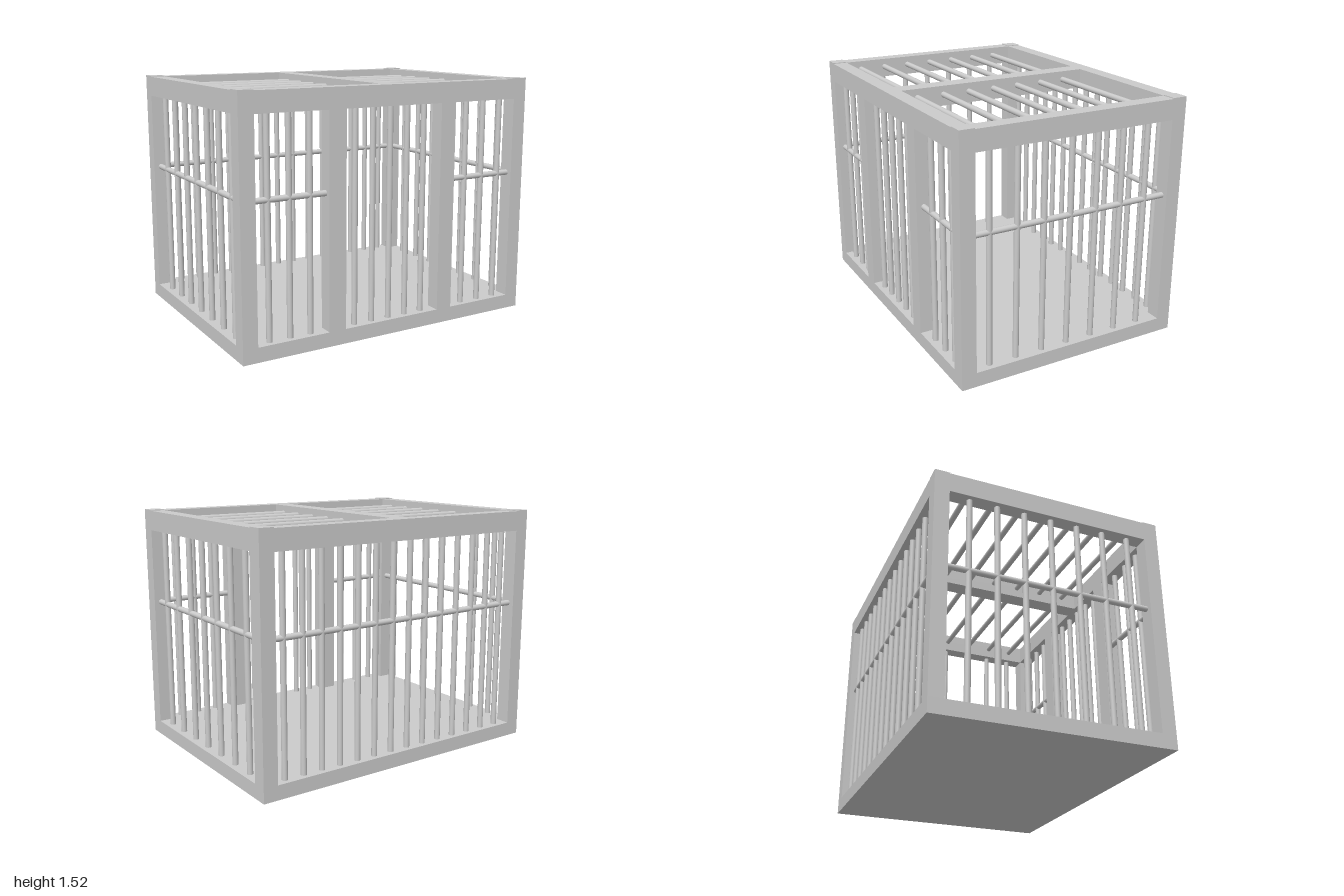
import * as THREE from 'three';

const W = 1, D = 0.74, T = 0.093;        // half width, half depth, frame thickness
const FLOOR = 0.09, RAIL = 1.39, TOP = 1.515, POST_TOP = 1.52;
const R = 0.018, CROSS_Y = 0.912, ROOF_Y = 1.46;
const IX = W - T, IZ = D - T;            // inner edges of the frame
const BX = W - T / 2, BZ = D - T / 2;    // planes of the bars

export function createModel() {
  const cage = new THREE.Group();
  cage.name = 'cage';
  const mat = new THREE.MeshStandardMaterial({ color: 0xcccccc });

  const section = (name) => {
    const g = new THREE.Group();
    g.name = name;
    cage.add(g);
    return g;
  };

  // Box given by its minimum and maximum corners
  const box = (parent, name, x0, x1, y0, y1, z0, z1) => {
    const m = new THREE.Mesh(new THREE.BoxGeometry(x1 - x0, y1 - y0, z1 - z0), mat);
    m.position.set((x0 + x1) / 2, (y0 + y1) / 2, (z0 + z1) / 2);
    m.name = name;
    parent.add(m);
  };

  // Round bar running along one axis from a to b, through the point (x, y, z)
  const bar = (parent, name, axis, a, b, x, y, z) => {
    const m = new THREE.Mesh(new THREE.CylinderGeometry(R, R, b - a, 16), mat);
    m.position.set(x, y, z);
    m.position[axis] = (a + b) / 2;
    if (axis === 'x') m.rotation.z = Math.PI / 2;
    if (axis === 'z') m.rotation.x = Math.PI / 2;
    m.name = name;
    parent.add(m);
  };

  const spread = (n, first, last) =>
    Array.from({ length: n }, (_, i) => first + ((last - first) * i) / (n - 1));
  const upright = (parent, x, z) => bar(parent, 'uprightBar', 'y', FLOOR, RAIL, x, 0, z);

  // Floor, corner posts and top rails
  const frame = section('frame');
  box(frame, 'floor', -W, W, 0, FLOOR, -D, D);
  for (const sx of [-1, 1]) {
    const x0 = sx < 0 ? -W : IX;
    box(frame, 'sideRail', x0, x0 + T, RAIL, TOP, -IZ, IZ);
    for (const sz of [-1, 1]) {
      const z0 = sz < 0 ? -D : IZ;
      box(frame, 'cornerPost', x0, x0 + T, FLOOR, POST_TOP, z0, z0 + T);
    }
  }
  box(frame, 'frontRail', -IX, IX, RAIL, TOP, IZ, D);
  box(frame, 'backRail', -IX, IX, RAIL, TOP, -D, -IZ);
  box(frame, 'roofBeam', -0.055, 0.055, RAIL, TOP, -IZ, IZ);
  box(frame, 'doorPost', -0.447, -0.335, FLOOR, RAIL, IZ, D);
  box(frame, 'doorPost', 0.335, 0.442, FLOOR, RAIL, IZ, D);

  // Front: two barred bays with a cross bar, and the door bars between them
  const front = section('frontBars');
  for (const x of spread(3, -0.815, -0.55)) upright(front, x, BZ);
  for (const x of spread(3, 0.558, 0.825)) upright(front, x, BZ);
  for (const x of spread(5, -0.25, 0.235)) upright(front, x, BZ);
  bar(front, 'crossBar', 'x', -IX, -0.447, 0, CROSS_Y, BZ);
  bar(front, 'crossBar', 'x', 0.442, IX, 0, CROSS_Y, BZ);

  // Back
  const back = section('backBars');
  for (const x of spread(14, -0.82, 0.835)) upright(back, x, -BZ);
  bar(back, 'crossBar', 'x', -IX, IX, 0, CROSS_Y, -BZ);

  // Both sides and the roof share the same spacing along the depth
  const depths = spread(7, -0.508, 0.542);
  for (const sx of [-1, 1]) {
    const side = section(sx > 0 ? 'leftBars' : 'rightBars');
    for (const z of depths) upright(side, sx * BX, z);
    bar(side, 'crossBar', 'z', -IZ, IZ, sx * BX, CROSS_Y, 0);
  }
  const roof = section('roofBars');
  for (const z of depths) {
    bar(roof, 'roofBar', 'x', -IX, -0.055, 0, ROOF_Y, z);
    bar(roof, 'roofBar', 'x', 0.055, IX, 0, ROOF_Y, z);
  }
  return cage;
}
